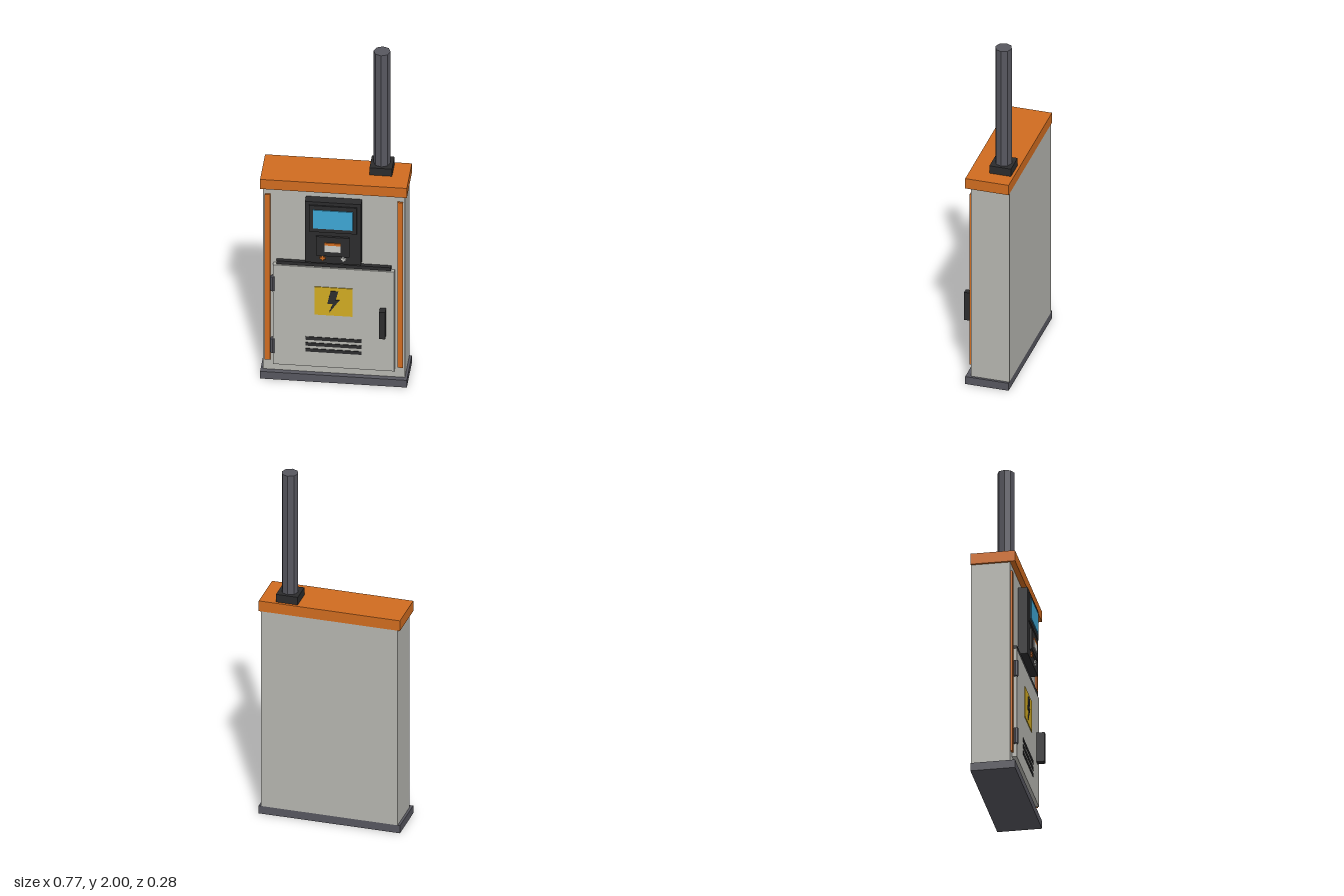
import * as THREE from 'three';

export function createModel() {
  const model = new THREE.Group();
  const mat = (name, color) => {
    const m = new THREE.MeshStandardMaterial({ color, flatShading: true });
    m.name = name;
    return m;
  };
  const casing = mat('casing grey', 0xb6b6b0);
  const orange = mat('orange trim', 0xd06c20);
  const black = mat('black plastic', 0x2c2c2d);
  const steel = mat('dark steel', 0x57575f);
  const blue = mat('screen blue', 0x3ea6d4);
  const yellow = mat('warning yellow', 0xd0aa22);
  const pale = mat('pale grey', 0xc9c9c5);

  const add = (name, geometry, material) => {
    const mesh = new THREE.Mesh(geometry, material);
    mesh.name = name;
    model.add(mesh);
    return mesh;
  };
  // Box given by its extents on each axis
  const box = (name, material, [x0, x1], [y0, y1], [z0, z1]) => {
    const mesh = add(name, new THREE.BoxGeometry(x1 - x0, y1 - y0, z1 - z0), material);
    mesh.position.set((x0 + x1) / 2, (y0 + y1) / 2, (z0 + z1) / 2);
    return mesh;
  };
  const wide = (w) => [-w, w];

  // Cabinet
  box('base', steel, wide(0.387), [0, 0.045], [-0.14, 0.098]);
  box('cabinet', casing, wide(0.374), [0.045, 1.195], [-0.14, 0.07]);
  box('roof', orange, wide(0.387), [1.195, 1.255], [-0.14, 0.098]);
  for (const s of [-1, 1]) {
    box('trimStrip', orange, [s * 0.35 - 0.0145, s * 0.35 + 0.0145], [0.11, 1.15], [0.07, 0.08]);
  }

  // Pole on the roof
  box('poleFoot', black, [0.178, 0.297], [1.255, 1.3], [-0.125, -0.007]);
  add('pole', new THREE.CylinderGeometry(0.045, 0.045, 0.7, 8), steel).position.set(0.238, 1.65, -0.067);

  // Door with drip rail, hinges, vents and handle
  box('door', casing, wide(0.32), [0.095, 0.72], [0.07, 0.095]);
  box('dripRail', black, wide(0.302), [0.725, 0.745], [0.07, 0.093]);
  for (const y of [0.212, 0.602]) {
    add('hinge', new THREE.CylinderGeometry(0.013, 0.013, 0.088, 8), steel).position.set(-0.322, y, 0.091);
  }
  for (const y of [0.198, 0.235, 0.272]) {
    box('ventSlot', black, wide(0.148), [y - 0.01, y + 0.01], [0.095, 0.098]);
  }
  box('handle', black, [0.245, 0.277], [0.322, 0.49], [0.095, 0.138]);

  // Warning sign with bolt symbol
  box('warningSign', yellow, wide(0.1), [0.425, 0.6], [0.095, 0.099]);
  const bolt = new THREE.Shape([
    [-0.015, 0.58], [-0.032, 0.5], [-0.004, 0.5], [-0.025, 0.44],
    [0.032, 0.525], [0.012, 0.525], [0.026, 0.58],
  ].map(([x, y]) => new THREE.Vector2(x, y)));
  add('boltSymbol', new THREE.ExtrudeGeometry(bolt, { depth: 0.003, bevelEnabled: false }), black)
    .position.z = 0.099;

  // Control panel
  box('panel', black, wide(0.148), [0.768, 1.15], [0.07, 0.121]);
  box('screenBezel', black, wide(0.126), [0.965, 1.13], [0.121, 0.128]);
  box('screen', blue, wide(0.105), [0.99, 1.105], [0.128, 0.133]);
  box('readerFrame', black, wide(0.088), [0.82, 0.94], [0.121, 0.133]);
  box('readerLabel', pale, wide(0.042), [0.85, 0.89], [0.133, 0.138]);
  box('readerStripe', orange, wide(0.042), [0.89, 0.905], [0.133, 0.138]);

  // Plus-shaped buttons
  for (const [x, material] of [[-0.055, orange], [0.055, pale]]) {
    box('buttonBar', material, [x - 0.015, x + 0.015], [0.796, 0.808], [0.121, 0.129]);
    box('buttonStem', material, [x - 0.006, x + 0.006], [0.787, 0.817], [0.121, 0.1285]);
  }
  return model;
}
